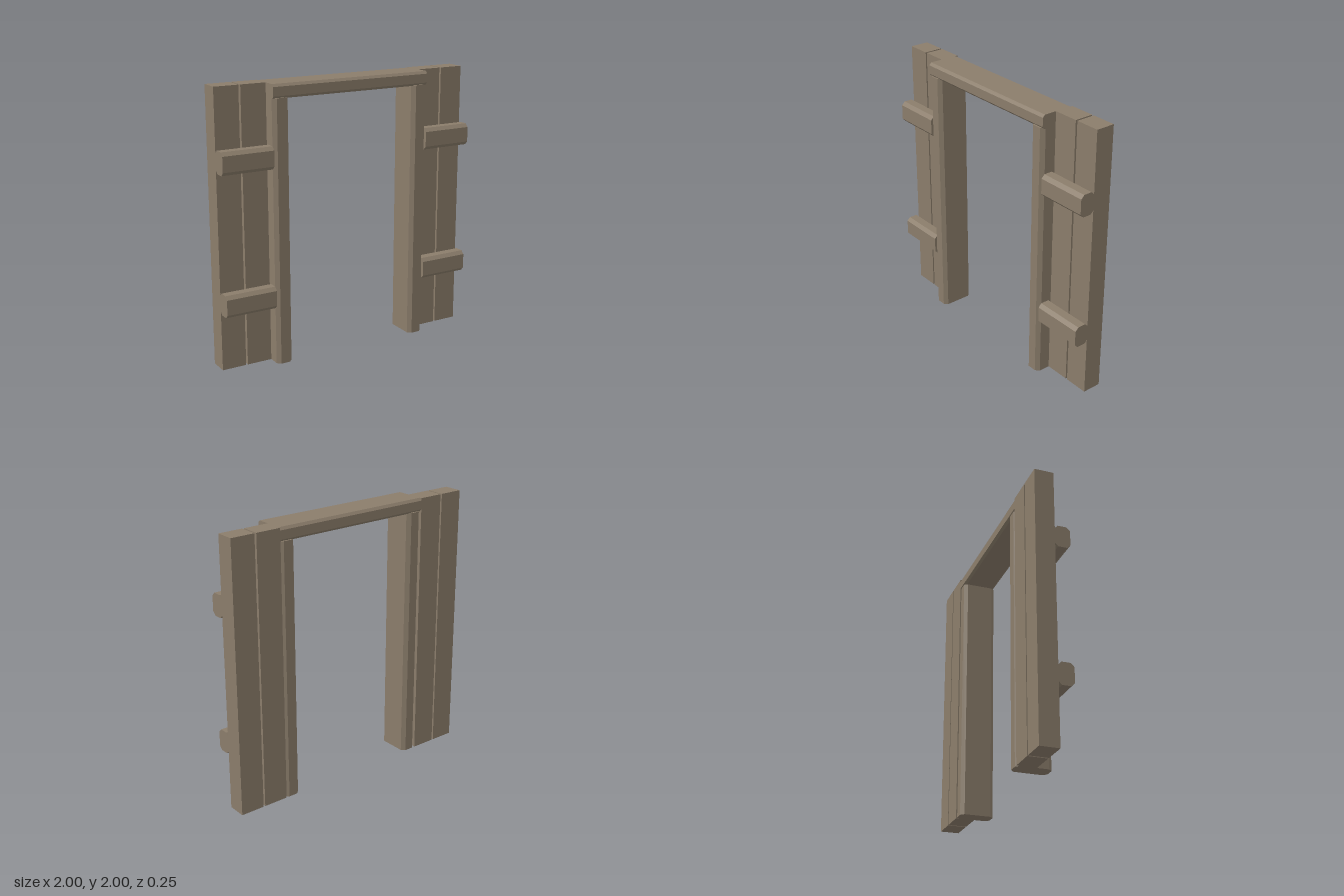
import * as THREE from 'three';

// Rectangle with all four corners chamfered, extruded along +z of the shape
function chamferedBar(a0, a1, b0, b1, c, length) {
  const s = new THREE.Shape([
    [a0 + c, b0], [a1 - c, b0], [a1, b0 + c], [a1, b1 - c],
    [a1 - c, b1], [a0 + c, b1], [a0, b1 - c], [a0, b0 + c],
  ].map(([x, y]) => new THREE.Vector2(x, y)));
  return new THREE.ExtrudeGeometry(s, { depth: length, bevelEnabled: false });
}

export function createModel() {
  const root = new THREE.Group();
  root.name = 'doorFrame';
  const wood = new THREE.MeshStandardMaterial({ color: 0x8b7d6b });
  wood.name = 'weathered wood';

  const add = (name, geometry) => {
    const mesh = new THREE.Mesh(geometry, wood);
    mesh.name = name;
    root.add(mesh);
  };
  // Bar along y: cross-section in x and z
  const upright = (x0, x1, z0, z1, c, h) =>
    chamferedBar(x0, x1, -z1, -z0, c, h).rotateX(-Math.PI / 2);
  // Bar along x: cross-section in z and y
  const crossbar = (x0, x1, y0, y1, z0, z1, c) =>
    chamferedBar(-z1, -z0, y0, y1, c, x1 - x0).rotateY(Math.PI / 2).translate(x0, 0, 0);

  // Lintel across the opening
  add('lintel', crossbar(-0.62, 0.62, 1.9, 2, -0.125, 0.125, 0.018));

  for (const [side, s] of [['left', 1], ['right', -1]]) {
    const span = (a, b) => (s > 0 ? [a, b] : [-b, -a]);

    // Door jamb
    add(side + 'Jamb', upright(...span(0.5, 0.62), -0.125, 0.125, 0.026, 1.905));

    // Wall planks with a narrow gap between them
    for (const [name, a, b] of [['InnerPlank', 0.62, 0.806], ['OuterPlank', 0.82, 1]]) {
      const plank = new THREE.BoxGeometry(b - a, 2, 0.14);
      plank.translate(s * (a + b) / 2, 1, -0.055);
      add(side + name, plank);
    }

    // Rails holding the planks together
    for (const [name, y] of [['LowerRail', 0.5], ['UpperRail', 1.5]]) {
      add(side + name, crossbar(...span(0.62, 1), y - 0.08, y + 0.08, 0.012, 0.125, 0.025));
    }
  }
  return root;
}
